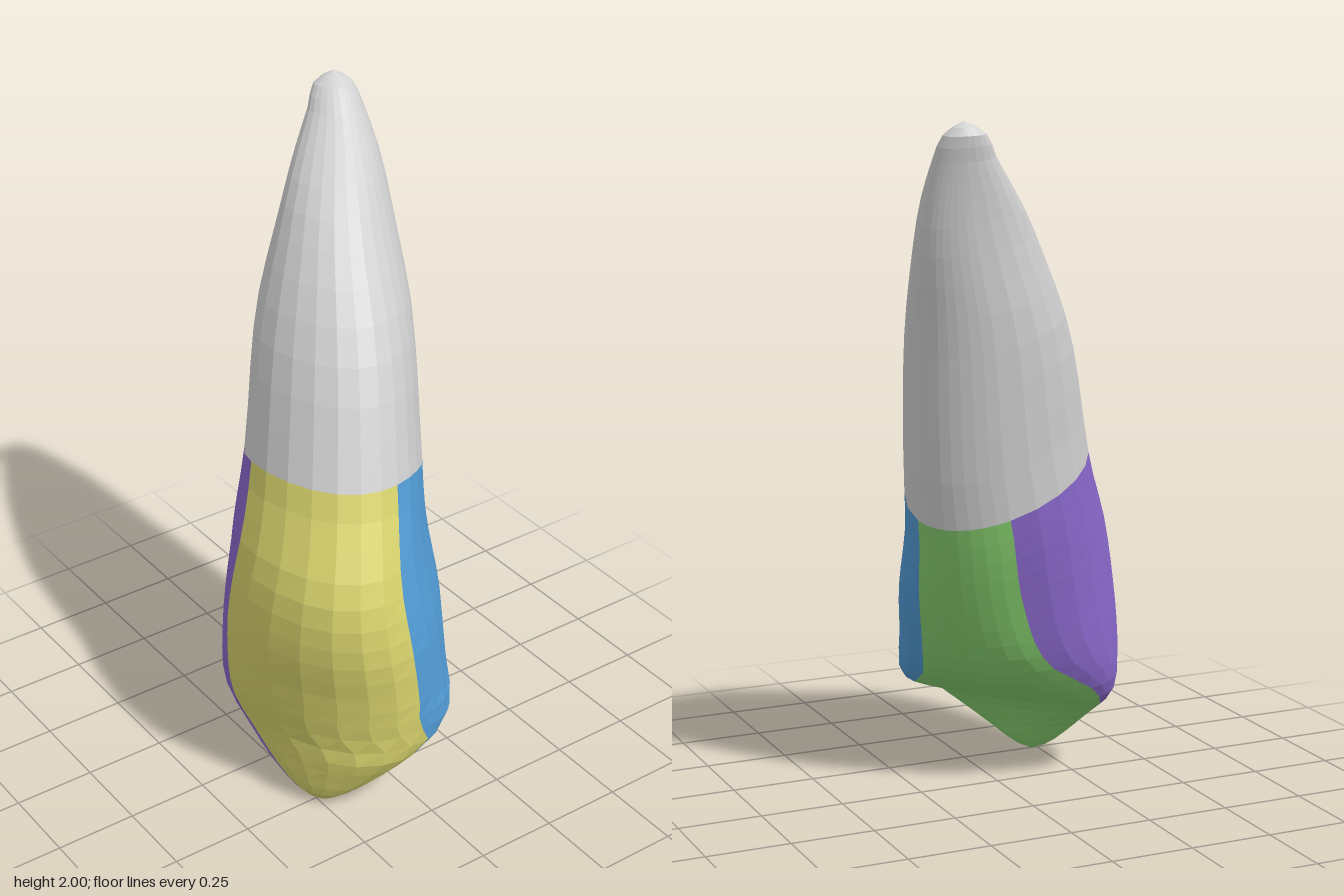
import * as THREE from 'three';

const rad = Math.PI / 180;

// Horizontal sections: y, xMin, xMax, zMin, zMax, roundness in degrees
const sections = [
  [0, -0.23, -0.23, 0.25, 0.25, 60],
  [0.02, -0.275, -0.185, 0.21, 0.3, 62],
  [0.1, -0.323, -0.09, 0.115, 0.38, 68],
  [0.2, -0.345, 0.04, -0.03, 0.445, 66],
  [0.25, -0.355, 0.155, -0.115, 0.45, 61],
  [0.3, -0.365, 0.2, -0.16, 0.452, 57],
  [0.4, -0.378, 0.23, -0.2, 0.462, 50],
  [0.6, -0.385, 0.275, -0.24, 0.467, 42],
  [0.8, -0.355, 0.295, -0.285, 0.428, 37],
  [1.0, -0.272, 0.325, -0.32, 0.325, 37],
  [1.4, -0.145, 0.36, -0.388, 0.155, 38],
  [1.7, 0.02, 0.38, -0.424, -0.08, 37],
  [1.9, 0.188, 0.364, -0.456, -0.3, 44],
  [1.97, 0.238, 0.344, -0.467, -0.372, 47],
  [2, 0.295, 0.295, -0.43, -0.43, 47],
];

// Angles dividing the crown faces: y, lingual/mesial, mesial/labial, labial/distal, distal/lingual
const divisions = [
  [0, 105, 108, 240, 244],
  [0.15, 100, 108, 243, 256],
  [0.2, 76, 112, 244, 275],
  [0.3, 33, 133, 245, 295],
  [0.4, 25, 131, 247, 318],
  [0.6, 21, 131, 249, 325],
  [0.86, 23, 131, 242, 326],
];

// Smooth interpolation between the rows of a table
function lookup(table, y) {
  const last = table.length - 1;
  let i = 0;
  while (i < last - 1 && table[i + 1][0] < y) i++;
  const a = table[i], b = table[i + 1];
  const before = table[Math.max(i - 1, 0)], after = table[Math.min(i + 2, last)];
  const h = b[0] - a[0];
  const k = THREE.MathUtils.clamp((y - a[0]) / h, 0, 1);
  return a.map((v, j) => {
    const m0 = (b[j] - before[j]) / (b[0] - before[0]) * h;
    const m1 = (after[j] - v) / (after[0] - a[0]) * h;
    return v + (b[j] - v) * k * k * (3 - 2 * k)
      + m0 * k * (1 - k) ** 2 - m1 * k * k * (1 - k);
  });
}

const bump = (y, centre, width) => Math.exp(-(((y - centre) / width) ** 2));

// Point on the tooth: 0 degrees is lingual, 90 mesial, 180 labial, 270 distal
function surface(y, deg) {
  const [, x0, x1, z0, z1, round] = lookup(sections, y);
  const c = Math.cos(deg * rad);
  // Hollow on the lingual side and fullness on the labial side near the biting edge
  const push = c > 0 ? 0.045 * bump(y, 0.22, 0.1) * c ** 3 : 0.04 * bump(y, 0.24, 0.14) * -(c ** 3);
  // Slight curve of each section towards the distal side
  const skew = 0.065 * (x1 - x0) * (Math.sin(deg * rad) ** 2 - Math.sin(round * rad) ** 2);
  return [
    (x0 + x1) / 2 + (x1 - x0) / 2 * Math.cos((deg - round) * rad) - push - skew,
    y,
    (z0 + z1) / 2 - (z1 - z0) / 2 * Math.cos((deg + round) * rad) + push - skew,
  ];
}

// Height of the neck line where crown meets root
const neck = (deg) => 0.952 - 0.113 * Math.cos(deg * rad) + 0.04 * Math.sin(deg * rad) ** 2;

// Angle of a dividing line at crown fraction f (0 tip, 1 neck)
function divide(column, f) {
  let deg = 0;
  for (let i = 0; i < 5; i++) deg = lookup(divisions, f * neck(deg))[column];
  return deg;
}

// Faceted patch from a grid of points
function patch(name, material, rows, cols, point) {
  const pos = [], index = [];
  for (let r = 0; r <= rows; r++)
    for (let c = 0; c <= cols; c++) pos.push(...point(r / rows, c / cols));
  for (let r = 0; r < rows; r++)
    for (let c = 0; c < cols; c++) {
      const a = r * (cols + 1) + c, b = a + 1, d = a + cols + 1, e = d + 1;
      index.push(a, d, b, b, d, e);
    }
  const indexed = new THREE.BufferGeometry();
  indexed.setAttribute('position', new THREE.Float32BufferAttribute(pos, 3));
  indexed.setIndex(index);
  const geometry = indexed.toNonIndexed();
  geometry.computeVertexNormals();
  const mesh = new THREE.Mesh(geometry, material);
  mesh.name = name;
  return mesh;
}

function paint(name, color) {
  const material = new THREE.MeshStandardMaterial({ color });
  material.name = name;
  return material;
}

export function createModel() {
  const tooth = new THREE.Group();
  tooth.name = 'tooth';
  const root = new THREE.Group();
  root.name = 'root';
  tooth.add(root);
  const rootGrey = paint('root grey', 0xd2d2d2);
  const faces = [
    { name: 'mesial', material: paint('mesial blue', 0x529cd6), cols: 7, from: 1, to: 2, turn: 0 },
    { name: 'labial', material: paint('labial yellow', 0xd6d16c), cols: 7, from: 2, to: 3, turn: 0 },
    { name: 'distal', material: paint('distal purple', 0x8a68cb), cols: 6, from: 3, to: 4, turn: 0 },
    { name: 'lingual', material: paint('lingual green', 0x88d070), cols: 8, from: 4, to: 1, turn: 360 },
  ];
  for (const { name, material, cols, from, to, turn } of faces) {
    const angle = (f, k) => THREE.MathUtils.lerp(divide(from, f), divide(to, f) + turn, k);
    // Crown face, from the rounded biting tip to the neck
    tooth.add(patch(name + 'Face', material, 20, cols, (s, k) => {
      const f = s ** 1.4;
      const deg = angle(f, k);
      return surface(f * neck(deg), deg);
    }));
    // Root strip above it, with rings closing up at the rounded apex
    root.add(patch(name + 'Root', rootGrey, 16, cols, (g, k) => {
      const deg = angle(1, k);
      return surface(THREE.MathUtils.lerp(neck(deg), 2, 1 - (1 - g) ** 2), deg);
    }));
  }
  return tooth;
}
